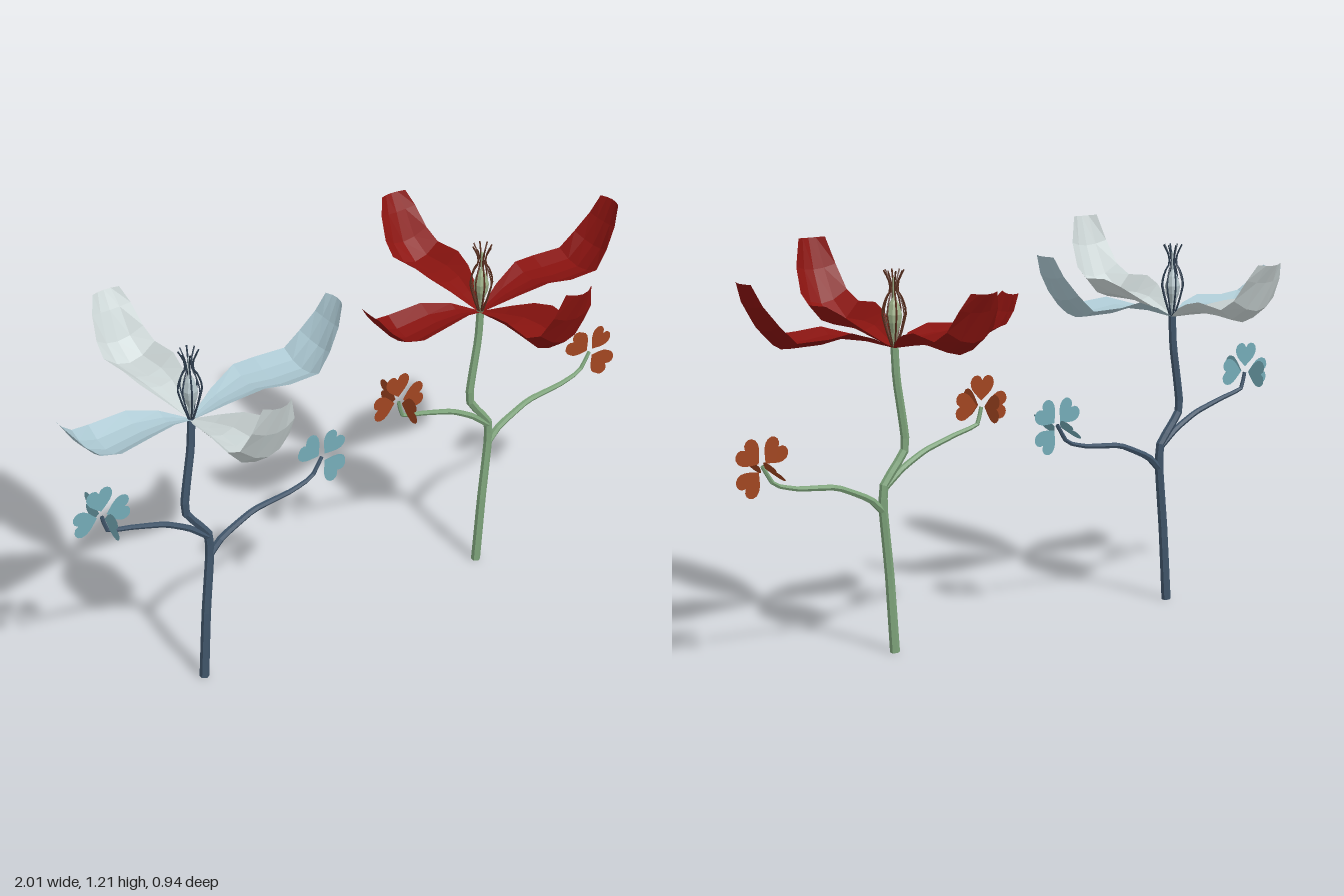
import * as THREE from 'three';

const V = (x, y, z) => new THREE.Vector3(x, y, z);
const mat = (color) => new THREE.MeshStandardMaterial({ color, flatShading: true, side: THREE.DoubleSide });

function add(parent, name, geometry, material) {
  const mesh = new THREE.Mesh(geometry, material);
  mesh.name = name;
  parent.add(mesh);
  return mesh;
}

// Tube through points whose radius narrows from r0 to r1
function taperedTube(points, r0, r1, segments, sides) {
  const curve = new THREE.CatmullRomCurve3(points.map((p) => V(...p)), false, 'catmullrom', 0.2);
  const geo = new THREE.TubeGeometry(curve, segments, 1, sides, false);
  const pos = geo.attributes.position;
  const p = V(0, 0, 0);
  for (let i = 0; i < pos.count; i++) {
    const t = Math.floor(i / (sides + 1)) / segments;
    const c = curve.getPointAt(t);
    p.fromBufferAttribute(pos, i).sub(c).multiplyScalar(r0 + (r1 - r0) * t).add(c);
    pos.setXYZ(i, p.x, p.y, p.z);
  }
  return geo;
}

// Cupped petal along +x; rows are [distance, centre height, half width, edge rise, edge shift]
function petalGeometry(rows) {
  const cols = 4;
  const pos = [], idx = [];
  rows.forEach(([d, y, w, rise, shift = 0], r) => {
    for (let c = 0; c <= cols; c++) {
      const s = (c / cols) * 2 - 1;
      pos.push(d + shift * s * s, y + rise * s * s, s * w);
      if (r && c) {
        const b = r * (cols + 1) + c, a = b - cols - 1;
        idx.push(a - 1, a, b - 1, a, b, b - 1);
      }
    }
  });
  const geo = new THREE.BufferGeometry();
  geo.setAttribute('position', new THREE.Float32BufferAttribute(pos, 3));
  geo.setIndex(idx);
  geo.computeVertexNormals();
  return geo;
}

// Heart leaflet with its tip at the origin, growing along +y
function heartGeometry() {
  const s = new THREE.Shape();
  s.moveTo(0, 0);
  s.bezierCurveTo(0.018, 0.016, 0.044, 0.032, 0.043, 0.055);
  s.bezierCurveTo(0.042, 0.08, 0.008, 0.086, 0, 0.062);
  s.bezierCurveTo(-0.008, 0.086, -0.042, 0.08, -0.043, 0.055);
  s.bezierCurveTo(-0.044, 0.032, -0.018, 0.016, 0, 0);
  return new THREE.ShapeGeometry(s, 5).translate(0, 0.016, 0);
}

// Petals: turn around the stem and profile
const PETALS = [
  ['leftPetal', 0, [
    [0, 0.925, 0.006, 0], [0.1, 0.955, 0.05, 0.012], [0.2, 0.972, 0.083, 0.025], [0.28, 0.96, 0.095, 0.028],
    [0.385, 0.958, 0.09, 0.027], [0.445, 1.015, 0.078, 0.02, -0.012], [0.485, 1.085, 0.06, 0.01, -0.008],
    [0.515, 1.155, 0.042, 0, -0.012]]],
  ['rightPetal', Math.PI, [
    [0, 0.925, 0.006, 0], [0.08, 0.945, 0.045, 0.015], [0.17, 0.945, 0.08, 0.03], [0.285, 0.93, 0.092, 0.035],
    [0.345, 0.955, 0.082, 0.02], [0.385, 1.0, 0.065, 0.01], [0.415, 1.05, 0.042, 0.006, 0.004]]],
  ['frontPetal', -Math.PI / 2, [
    [0, 0.925, 0.006, 0], [0.09, 0.943, 0.048, 0.028], [0.165, 0.957, 0.075, 0.05], [0.235, 0.957, 0.088, 0.07],
    [0.33, 0.955, 0.088, 0.065], [0.4, 1.01, 0.082, 0.04, -0.015], [0.443, 1.11, 0.07, 0.015, -0.015],
    [0.47, 1.205, 0.047, 0.003, -0.02]]],
  ['backPetal', Math.PI / 2, [
    [0, 0.925, 0.006, 0], [0.09, 0.943, 0.048, 0.025], [0.16, 0.955, 0.075, 0.035], [0.23, 0.955, 0.088, 0.05],
    [0.335, 0.948, 0.088, 0.045], [0.4, 0.99, 0.08, 0.035, -0.015], [0.437, 1.08, 0.066, 0.01, -0.01],
    [0.467, 1.135, 0.045, 0.004, -0.014]]],
];

function createFlower(name, colors) {
  const flower = new THREE.Group();
  flower.name = name;
  const stemMat = mat(colors.stem), leafMat = mat(colors.leaf);
  const sidePetalMat = mat(colors.sidePetal), petalMat = mat(colors.petal), stamenMat = mat(colors.stamen);

  // Main stem and two side branches
  add(flower, 'stem', taperedTube([[-0.003, 0, 0.018], [0.012, 0.24, 0.02], [0.037, 0.44, 0.012], [0.034, 0.52, 0.01],
    [-0.041, 0.625, 0.008], [-0.008, 0.83, 0.003], [0, 0.93, 0]], 0.015, 0.012, 24, 6), stemMat);
  add(flower, 'leftBranch', taperedTube([[0.035, 0.435, 0.012], [0.085, 0.482, 0.01], [0.2, 0.532, 0.008],
    [0.33, 0.545, 0.008], [0.41, 0.567, 0.008], [0.449, 0.626, 0.008]], 0.012, 0.006, 16, 6), stemMat);
  add(flower, 'rightBranch', taperedTube([[0.036, 0.505, 0.012], [-0.03, 0.56, 0.01], [-0.11, 0.605, 0.008],
    [-0.22, 0.64, 0.008], [-0.3, 0.662, 0.008], [-0.316, 0.715, 0.008]], 0.011, 0.006, 16, 6), stemMat);

  // Leaf clusters: one heart on top and four around
  const heart = heartGeometry();
  for (const [leafName, x, y, tilt] of [['leftLeaves', 0.449, 0.622, -Math.PI / 4], ['rightLeaves', -0.316, 0.718, 0.06]]) {
    const cluster = new THREE.Group();
    cluster.name = leafName;
    cluster.position.set(x, y, 0.008);
    cluster.rotation.z = tilt;
    add(cluster, 'topLeaflet', heart, leafMat);
    for (let k = 0; k < 4; k++) {
      add(cluster, 'sideLeaflet', heart, leafMat).rotation.set(0, k * Math.PI / 2, Math.PI / 2);
    }
    flower.add(cluster);
  }

  // Petals
  for (const [petalName, turn, rows] of PETALS) {
    const side = petalName === 'leftPetal' || petalName === 'rightPetal';
    add(flower, petalName, petalGeometry(rows), side ? sidePetalMat : petalMat).rotation.y = turn;
  }

  // Pistil inside a cage of stamens
  const profile = [[0.004, 0.92], [0.01, 0.97], [0.021, 1.0], [0.024, 1.025], [0.015, 1.055], [0.004, 1.075], [0.004, 1.13], [0, 1.135]];
  add(flower, 'pistil', new THREE.LatheGeometry(profile.map((p) => new THREE.Vector2(...p)), 8), mat(colors.pistil));
  const stamen = taperedTube([[0.006, 0.925, 0], [0.024, 0.98, 0], [0.036, 1.03, 0], [0.026, 1.07, 0],
    [0.011, 1.095, 0], [0.015, 1.125, 0], [0.03, 1.155, 0]], 0.003, 0.0025, 14, 4);
  for (let i = 0; i < 8; i++) add(flower, 'stamen', stamen, stamenMat).rotation.y = (i + 0.5) * Math.PI / 4;

  return flower;
}

export function createModel() {
  const model = new THREE.Group();
  model.name = 'flowerPair';
  const blue = createFlower('blueFlower', {
    stem: 0x41566b, leaf: 0x74aab6, sidePetal: 0xaac6d0, petal: 0xd0dada, stamen: 0x2f3f50, pistil: 0xb4c4c8 });
  const red = createFlower('redFlower', {
    stem: 0x7fa57c, leaf: 0xa04520, sidePetal: 0x86120f, petal: 0x8c1410, stamen: 0x5a3020, pistil: 0x9caf88 });
  blue.position.x = -0.585;
  red.position.x = 0.468;
  model.add(blue, red);
  return model;
}
